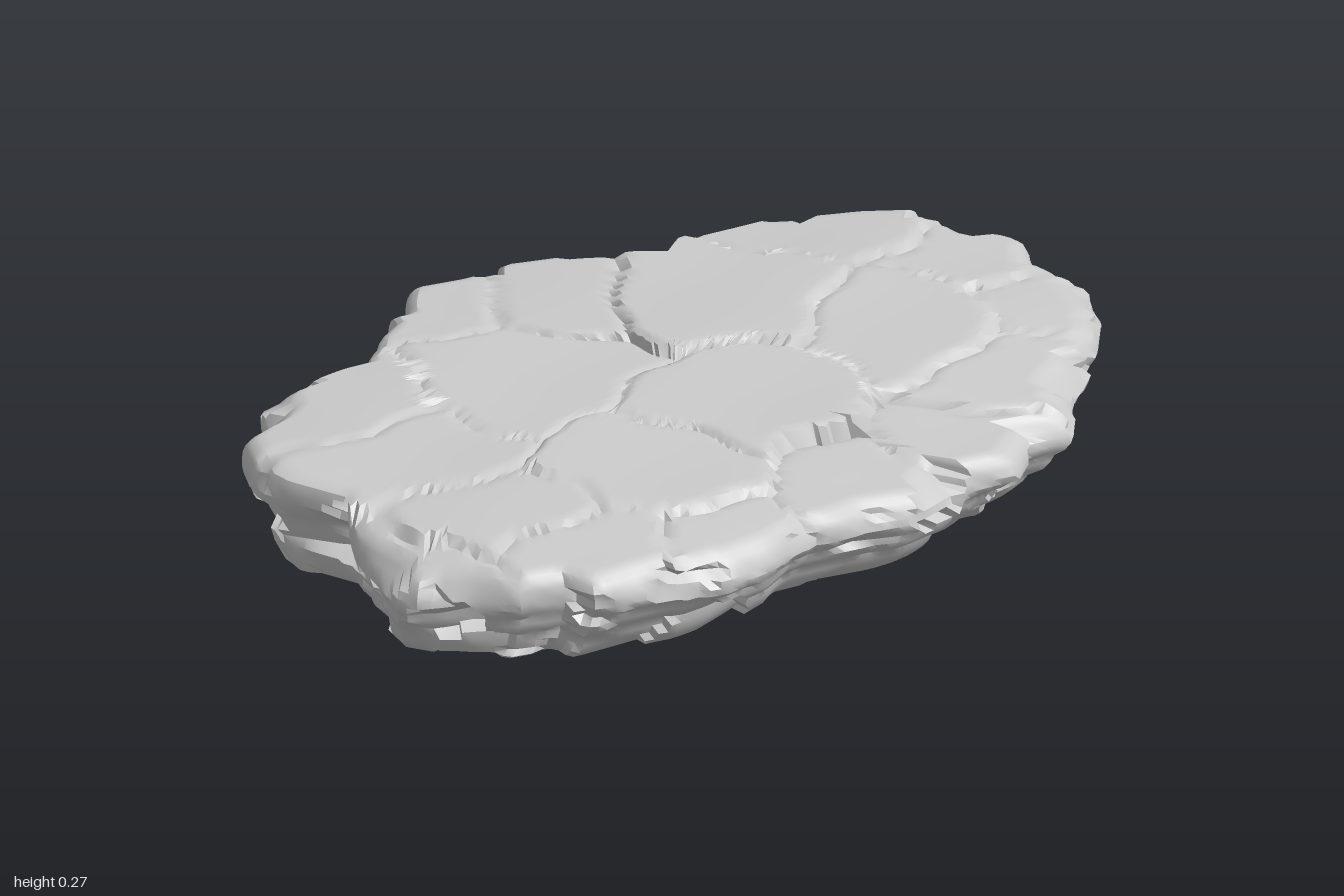
import * as THREE from 'three';
import { toCreasedNormals } from 'three/addons/utils/BufferGeometryUtils.js';

// Plan outline of the slab, [x, z]
const OUTLINE = [
  [0.02, -1], [0.13, -0.93], [0.23, -0.96], [0.36, -0.86], [0.45, -0.73], [0.53, -0.6], [0.65, -0.47],
  [0.63, -0.37], [0.7, -0.26], [0.66, -0.15], [0.69, -0.1], [0.69, 0], [0.62, 0.24], [0.64, 0.38],
  [0.63, 0.5], [0.58, 0.63], [0.53, 0.78], [0.46, 0.79], [0.42, 0.88], [0.33, 0.93], [0.27, 0.98],
  [0.2, 1], [0.07, 0.95], [-0.02, 0.9], [-0.09, 0.85], [-0.28, 0.89], [-0.43, 0.78], [-0.46, 0.69],
  [-0.55, 0.6], [-0.53, 0.44], [-0.5, 0.36], [-0.55, 0.27], [-0.62, 0.18], [-0.6, 0.13], [-0.7, 0.03],
  [-0.64, -0.1], [-0.6, -0.13], [-0.64, -0.17], [-0.55, -0.3], [-0.43, -0.45], [-0.45, -0.5],
  [-0.4, -0.7], [-0.28, -0.86], [-0.16, -0.98], [-0.1, -0.97],
];

// Cracked plates of the upper face: [x, z, height, slope in x, slope in z]
const PLATES = [
  [-0.2, -0.36, 0.258, 0.015, 0.01], [0.2, -0.5, 0.246, -0.03, -0.01], [-0.28, -0.72, 0.24, 0.05, 0.03],
  [0.02, -0.84, 0.232, 0, 0.08], [0.27, -0.84, 0.218, -0.05, 0.06], [-0.5, -0.12, 0.24, 0.04, 0],
  [-0.2, 0.2, 0.242, -0.01, 0.01], [0.22, 0.02, 0.246, -0.02, -0.01], [0.28, 0.36, 0.24, -0.04, 0.01],
  [-0.42, 0.58, 0.232, 0.04, -0.03], [-0.12, 0.65, 0.237, 0, -0.02], [0.2, 0.7, 0.234, 0.01, -0.03],
  [0.46, -0.5, 0.222, -0.06, 0.02], [0.6, -0.3, 0.203, -0.05, 0], [0.6, 0.05, 0.2, -0.04, 0.02],
  [0.58, 0.42, 0.206, -0.08, 0], [0.47, 0.7, 0.217, -0.08, -0.03], [0.2, 0.98, 0.185, 0, -0.25],
  [-0.64, 0.06, 0.235, 0.03, 0],
];

function seeded(seed) {
  return () => {
    seed = (seed * 16807) % 2147483647;
    return seed / 2147483647;
  };
}

// Height of the upper face: tilted plates with narrow cracks between them
function topHeight(x, z) {
  const wx = x + 0.03 * Math.sin(9 * z + 4 * x) + 0.012 * Math.sin(27 * z);
  const wz = z + 0.03 * Math.sin(8 * x - 3 * z) + 0.012 * Math.sin(31 * x + 1);
  let d1 = 9, d2 = 9, plate;
  for (const p of PLATES) {
    const d = Math.hypot(wx - p[0], wz - p[1]);
    if (d < d1) { d2 = d1; d1 = d; plate = p; } else if (d < d2) d2 = d;
  }
  const [px, pz, h, sx, sz] = plate;
  const crack = Math.max(0, 1 - (d2 - d1) / 0.03);
  const ripple = 0.003 * Math.sin(11 * x + 6 * z) * Math.sin(9 * z - 4 * x);
  return h + sx * (x - px) + sz * (z - pz) - 0.009 * crack + ripple;
}

const bottomHeight = (x, z) => Math.max(0, 0.014 - 0.026 * x + 0.004 * Math.sin(5 * z + 3 * x));

// How far the wall is undercut at each height fraction: [fraction, undercut]
const WALL = [
  [0, 1], [0.04, 0.85], [0.1, 0.72], [0.18, 0.6], [0.27, 0.5], [0.36, 0.44], [0.42, 0.3], [0.5, 0.2],
  [0.58, 0.15], [0.64, 0.04], [0.72, 0], [0.8, 0], [0.88, 0.02], [0.95, 0.08], [1, 0.18],
];

function slabGeometry() {
  const N = 240;
  const path = new THREE.Path().setFromPoints(OUTLINE.map(([x, z]) => new THREE.Vector2(x, z)));
  path.closePath();
  const rim = path.getSpacedPoints(N).slice(0, N);

  // Flat chips knocked out of the wall
  const rand = seeded(4127);
  const chips = Array.from({ length: 150 }, () => {
    const p = rim[Math.floor(rand() * N)];
    return {
      x: p.x, z: p.y, f: rand(), depth: 0.05 * rand() ** 1.5,
      tx: 0.7 * (rand() - 0.5), tz: 0.7 * (rand() - 0.5), tf: 0.1 * (rand() - 0.5),
    };
  });
  const chipDepth = (x, z, f) => {
    let best = 9, c;
    for (const k of chips) {
      const d = (x - k.x) ** 2 + (z - k.z) ** 2 + (0.4 * (f - k.f)) ** 2;
      if (d < best) { best = d; c = k; }
    }
    const depth = c.depth + c.tx * (x - c.x) + c.tz * (z - c.z) + c.tf * (f - c.f);
    const keep = 1 - 0.7 * Math.exp(-(((f - 0.75) / 0.12) ** 2));
    return Math.min(0.07, Math.max(0, depth)) * keep;
  };

  const wallPoint = (p, f, undercut) => {
    const r = Math.hypot(p.x, p.y);
    const k = 1 - chipDepth(p.x, p.y, f) / r;
    // The front end is steep, the sides and back lean out more
    const x = p.x * k * (1 - 0.18 * undercut);
    const z = p.y * k * (1 - 0.11 * undercut) + 0.05 * undercut;
    return [x, z];
  };

  const rings = [];
  const foot = rim.map((p) => wallPoint(p, 0, 1));
  const brow = rim.map((p) => wallPoint(p, 1, 0.18));

  // Underside
  for (const s of [0, 0.25, 0.5, 0.75, 0.92]) {
    rings.push(foot.map(([x, z]) => [x * s, bottomHeight(x * s, z * s), z * s]));
  }
  // Chipped wall
  for (const [f, undercut] of WALL) {
    rings.push(rim.map((p) => {
      const [x, z] = wallPoint(p, f, undercut);
      const low = bottomHeight(x, z);
      return [x, low + (topHeight(x, z) - 0.008 - low) * f, z];
    }));
  }
  // Upper face
  const M = 44;
  for (let j = 1; j <= M; j++) {
    const s = 1 - j / M;
    rings.push(brow.map(([x, z]) => [x * s, topHeight(x * s, z * s), z * s]));
  }

  const index = [];
  for (let j = 0; j < rings.length - 1; j++) {
    for (let i = 0; i < N; i++) {
      const n = (i + 1) % N;
      const a = j * N + i, b = j * N + n, c = b + N, d = a + N;
      if (j < rings.length - 2) index.push(a, d, c);
      else index.push(a, d, b);
      if (j > 0 && j < rings.length - 2) index.push(a, c, b);
    }
  }
  const geometry = new THREE.BufferGeometry();
  geometry.setAttribute('position', new THREE.Float32BufferAttribute(rings.flat(2), 3));
  geometry.setIndex(index);
  return toCreasedNormals(geometry, 0.55);
}

export function createModel() {
  const model = new THREE.Group();
  model.name = 'rockSlab';
  const slab = new THREE.Mesh(slabGeometry(), new THREE.MeshStandardMaterial({ color: 0xcccccc }));
  slab.name = 'stoneSlab';
  model.add(slab);
  return model;
}
